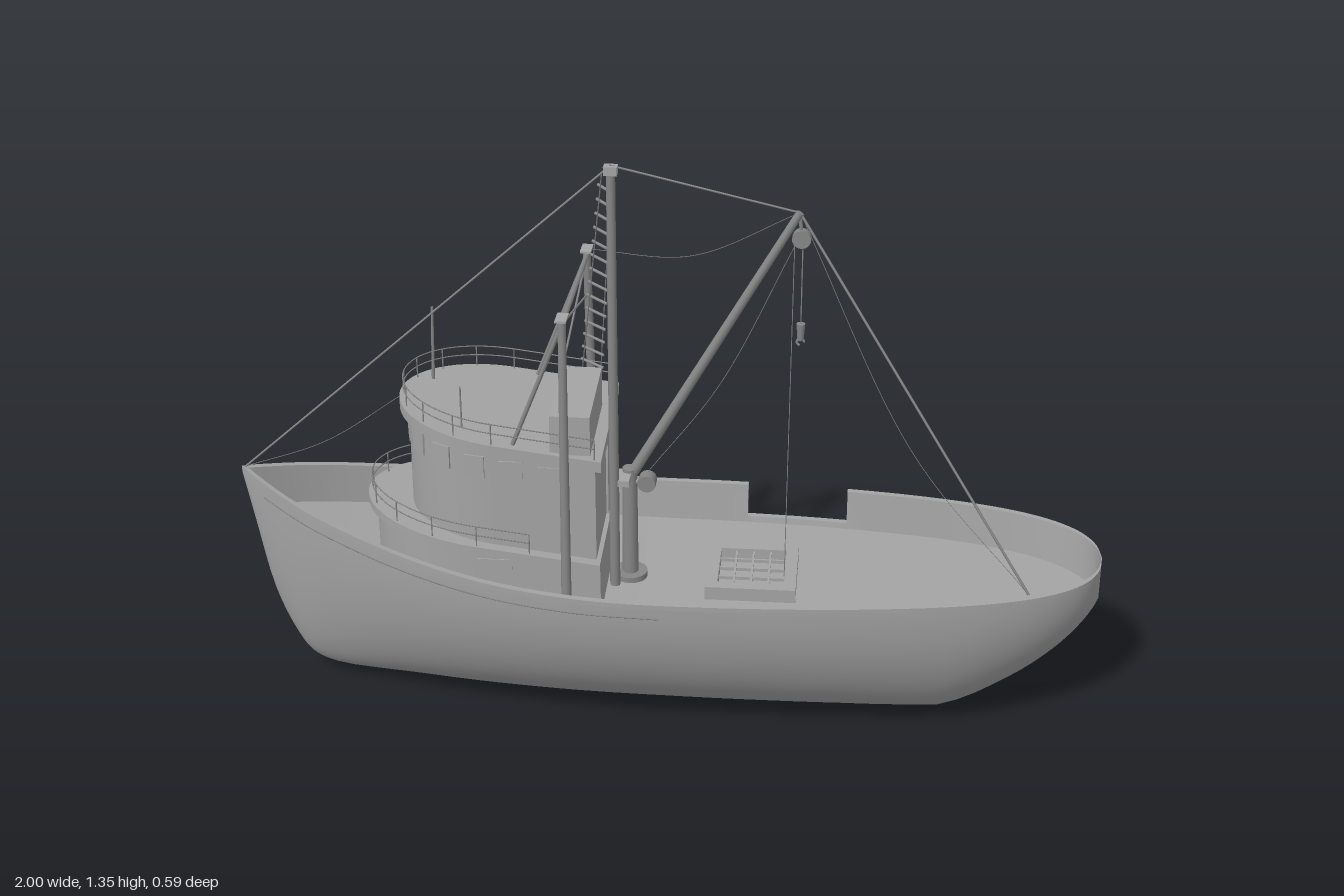
import * as THREE from 'three';
import { toCreasedNormals } from 'three/addons/utils/BufferGeometryUtils.js';

const bodyGrey = new THREE.MeshStandardMaterial({ color: 0xa4a4a4, side: THREE.DoubleSide });
const rigGrey = new THREE.MeshStandardMaterial({ color: 0x868686, side: THREE.DoubleSide });
const V = (x, y, z) => new THREE.Vector3(x, y, z);

function add(parent, name, geo, x = 0, y = 0, z = 0, mat = bodyGrey) {
  const m = new THREE.Mesh(geo, mat);
  m.name = name;
  m.position.set(x, y, z);
  parent.add(m);
  return m;
}
const box = (p, name, w, h, d, x, y, z) => add(p, name, new THREE.BoxGeometry(w, h, d), x, y, z);

// straight bar between two points
function rod(p, name, a, b, r = 0.003, r2 = r, sides = 8) {
  const m = add(p, name, new THREE.CylinderGeometry(r2, r, a.distanceTo(b), sides), 0, 0, 0, rigGrey);
  m.position.copy(a).lerp(b, 0.5);
  m.quaternion.setFromUnitVectors(V(0, 1, 0), b.clone().sub(a).normalize());
  return m;
}
const tube = (p, name, pts, r, n = 60) =>
  add(p, name, new THREE.TubeGeometry(new THREE.CatmullRomCurve3(pts), n, r, 5), 0, 0, 0, rigGrey);
// slack rope
function rope(p, a, b, sag) {
  const mid = a.clone().lerp(b, 0.5);
  mid.y -= sag;
  tube(p, 'slackRope', [a, mid, b], 0.0008, 24);
}

// ---- hull: half width and keel height at each station ----
const STATIONS = [
  [-1, 0, 0.53], [-0.976, 0.018, 0.40], [-0.94, 0.045, 0.215], [-0.9, 0.073, 0.11], [-0.86, 0.098, 0.048],
  [-0.8, 0.13, 0.022], [-0.6, 0.21, 0.014], [-0.4, 0.263, 0.01], [-0.2, 0.286, 0.007], [0, 0.29, 0.005],
  [0.17, 0.287, 0.003], [0.41, 0.272, 0.001], [0.64, 0.242, 0.002], [0.8, 0.203, 0.085], [0.9, 0.158, 0.165],
  [0.96, 0.108, 0.23], [0.99, 0.055, 0.27], [1, 0, 0.285]];
const sheer = x => 0.395 + (x < 0 ? 0.15 * x * x : 0);

function hullSection(x, w, k, side, notched) {
  const t = sheer(x), deck = Math.max(t - 0.098, k);
  const top = notched ? deck + 0.015 : t;
  const half = y => w * Math.sqrt(Math.max(0, 1 - ((t - y) / (t - k)) ** 2));
  const lip = Math.max(top - 0.012, k), out = Math.min(0.004, w * 0.2), pts = [];
  for (let j = 0; j <= 16; j++) {
    const a = (j / 16) * Math.PI / 2, y = lip + (k - lip) * Math.cos(a);
    pts.push([half(y), y]);
  }
  const inner = Math.max(0, half(top) - 0.011), foot = Math.max(0, half(deck) - 0.011);
  pts.push([half(lip) + out, lip], [half(top) + out, top], [inner, top], [foot, deck], [0, deck]);
  return pts.map(([z, y]) => [x, y, z * side]);
}

function hullGeometry() {
  const curve = new THREE.CatmullRomCurve3(STATIONS.map(s => V(...s)));
  const rows = [], n = STATIONS.length - 1;
  for (let i = 0; i < n; i++) {
    const gap = i === 10;
    for (let j = 0; j <= 4; j++) {
      if (j === 4 && !gap && i !== 9 && i !== n - 1) continue;
      const p = curve.getPoint((i + j / 4) / n);
      rows.push([p.x, Math.max(0, p.y), Math.max(0, p.z), gap]);
    }
  }
  const pos = [], idx = [];
  for (const side of [1, -1]) {
    const base = pos.length / 3;
    let cols = 0;
    for (const [x, w, k, gap] of rows) {
      const sec = hullSection(x, w, k, side, gap && side < 0);
      cols = sec.length;
      pos.push(...sec.flat());
    }
    for (let i = 0; i < rows.length - 1; i++) for (let j = 0; j < cols - 1; j++) {
      const a = base + i * cols + j, b = a + cols;
      if (side > 0) idx.push(a, b, b + 1, a, b + 1, a + 1);
      else idx.push(a, b + 1, b, a, a + 1, b + 1);
    }
  }
  const g = new THREE.BufferGeometry();
  g.setAttribute('position', new THREE.Float32BufferAttribute(pos, 3));
  g.setIndex(idx);
  return toCreasedNormals(g, 0.7);
}

// ---- deckhouse plan: round front, straight sides, square aft ----
function plan(front, straight, aft, hw, n = 32) {
  const pts = [[aft, hw]];
  for (let i = 0; i <= n; i++) {
    const a = (i / n) * Math.PI;
    pts.push([straight - (straight - front) * Math.sin(a), hw * Math.cos(a)]);
  }
  pts.push([aft, -hw]);
  return pts;
}
function house(p, name, pts, bottom, top) {
  const shape = new THREE.Shape(pts.map(q => new THREE.Vector2(...q)));
  const g = new THREE.ExtrudeGeometry(shape, { depth: 1, bevelEnabled: false });
  g.rotateX(Math.PI / 2);
  const a = g.attributes.position;
  for (let i = 0; i < a.count; i++) a.setY(i, a.getY(i) > -0.5 ? top(a.getX(i)) : bottom(a.getX(i)));
  return add(p, name, toCreasedNormals(g, 0.6));
}
// guard rail with two bars and posts along a plan
function railing(p, pts, floor, h) {
  for (const f of [0.55, 1]) tube(p, 'railBar', pts.map(([x, z]) => V(x, floor(x) + h * f, z)), 0.0014, 90);
  pts.forEach(([x, z], i) => {
    if (i % 4 === 1 || i === 0 || i === pts.length - 1)
      rod(p, 'railPost', V(x, floor(x), z), V(x, floor(x) + h, z), 0.0016, 0.0016, 5);
  });
}

export function createModel() {
  const model = new THREE.Group();
  model.name = 'fishingBoat';
  const ship = new THREE.Group();
  ship.name = 'hullAndHouse';
  ship.rotation.y = 0.033;
  model.add(ship);
  add(ship, 'hull', hullGeometry());

  // rubbing strakes
  for (const s of [1, -1]) {
    const pts = STATIONS.slice(2, 10).map(([x, w, k]) => {
      const t = sheer(x), u = 0.04 / (t - k);
      return V(x, t - 0.04, s * w * Math.sqrt(1 - u * u));
    });
    tube(ship, 'rubbingStrake', pts, 0.0016);
  }

  // deckhouse, wheelhouse and roof
  const platformY = x => 0.42 - 0.125 * x, roofY = x => 0.682 - 0.128 * x;
  house(ship, 'lowerHouse', plan(-0.68, -0.42, -0.14, 0.192), () => 0.27, x => platformY(x) - 0.01);
  house(ship, 'platform', plan(-0.7, -0.42, -0.14, 0.203), x => platformY(x) - 0.02, platformY);
  const walls = plan(-0.595, -0.38, -0.15, 0.178);
  house(ship, 'wheelhouse', walls, () => 0.4, x => roofY(x) - 0.01);
  house(ship, 'roof', plan(-0.615, -0.38, -0.135, 0.197), x => roofY(x) - 0.026, roofY);
  railing(ship, plan(-0.69, -0.42, -0.3, 0.197), platformY, 0.05);
  railing(ship, plan(-0.605, -0.38, -0.15, 0.19), roofY, 0.05);
  box(ship, 'roofLocker', 0.09, 0.095, 0.25, -0.205, 0.755, 0.058);

  // windows, portlights and aft door
  const pane = (x, y, z, angle, w, h) => { box(ship, 'window', w, h, 0.006, x, y, z).rotation.y = angle; };
  for (let i = 3; i < walls.length - 2; i += 4) {
    const [x, z] = walls[i], [x0, z0] = walls[i - 1], [x1, z1] = walls[i + 1];
    pane(x, roofY(x) - 0.07, z, Math.atan2(-(z1 - z0), x1 - x0), 0.046, 0.055);
  }
  for (const s of [1, -1]) {
    for (const x of [-0.34, -0.25]) pane(x, roofY(x) - 0.07, s * 0.178, 0, 0.055, 0.055);
    for (const x of [-0.38, -0.24]) pane(x, 0.425, s * 0.192, 0, 0.08, 0.025);
  }
  box(ship, 'aftDoor', 0.008, 0.22, 0.09, -0.149, 0.54, -0.08);

  // cargo hatch with grating
  const hx = 0.195, hz = -0.005, hy = 0.31;
  for (const s of [1, -1]) {
    box(ship, 'hatchCoaming', 0.21, 0.04, 0.028, hx, hy, hz + s * 0.09);
    box(ship, 'hatchCoaming', 0.028, 0.04, 0.16, hx + s * 0.091, hy, hz);
  }
  for (const d of [-0.04, 0, 0.04]) {
    box(ship, 'hatchBar', 0.005, 0.008, 0.16, hx + d, hy + 0.01, hz);
    box(ship, 'hatchBar', 0.16, 0.008, 0.005, hx, hy + 0.01, hz + d);
  }

  // aerials
  rod(model, 'aerial', V(-0.555, 0.74, -0.06), V(-0.55, 0.935, -0.06), 0.004, 0.003);
  rod(model, 'aerial', V(-0.45, 0.73, 0.145), V(-0.45, 0.84, 0.145), 0.002);

  // mast, derrick post and boom
  const mastTop = V(-0.12, 1.345, 0.055), tip = V(0.285, 1.23, -0.006), heel = V(-0.09, 0.56, 0.008);
  rod(model, 'mast', V(-0.12, 0.28, 0.055), mastTop, 0.012, 0.01, 12);
  box(model, 'mastCap', 0.03, 0.02, 0.022, -0.12, 1.335, 0.055);
  rod(model, 'derrickPost', V(-0.09, 0.28, 0.008), V(-0.09, 0.585, 0.008), 0.019, 0.017, 14);
  rod(model, 'postFlange', V(-0.09, 0.29, 0.008), V(-0.09, 0.312, 0.008), 0.04, 0.04, 16);
  box(model, 'mastBracket', 0.04, 0.015, 0.06, -0.105, 0.57, 0.032);
  rod(model, 'boom', heel, tip, 0.013, 0.009, 12);
  rod(model, 'winchDrum', V(-0.05, 0.55, -0.01), V(-0.05, 0.55, 0.022), 0.021, 0.021, 14);
  rod(model, 'winchAxle', V(-0.09, 0.55, 0.008), V(-0.05, 0.55, 0.008), 0.009);

  // hoist block and hook
  rod(model, 'hoistBlock', V(0.29, 1.17, -0.016), V(0.29, 1.17, 0.004), 0.021, 0.021, 14);
  rod(model, 'blockStrap', tip, V(0.29, 1.17, -0.006), 0.004);
  rod(model, 'hoistRope', V(0.293, 1.17, -0.006), V(0.293, 0.96, -0.006), 0.0014);
  rod(model, 'hookBlock', V(0.293, 0.965, -0.006), V(0.293, 0.925, -0.006), 0.01, 0.007);
  add(model, 'hook', new THREE.TorusGeometry(0.008, 0.003, 6, 12, 4.5), 0.293, 0.92, -0.006, rigGrey);
  rod(model, 'fallRope', V(0.275, 1.16, -0.006), V(0.27, 0.31, -0.006), 0.001);

  // gallows frame
  const postTop = [V(-0.21, 1.045, 0.195), V(-0.21, 1.045, -0.177)];
  const postFoot = [V(-0.205, 0.28, 0.245), V(-0.205, 0.28, -0.23)];
  postTop.forEach((t, i) => {
    const f = postFoot[i], other = postFoot[1 - i].clone().lerp(postTop[1 - i], 0.85);
    rod(model, 'gallowsPost', f, t, 0.012, 0.009, 10);
    box(model, 'gallowsCap', 0.025, 0.005, 0.045, t.x, t.y, t.z);
    rod(model, 'gallowsStrut', V(-0.33, 0.72, t.z * 0.95), V(t.x, 1.03, t.z), 0.005);
    rod(model, 'crossBrace', V(t.x, 1.03, t.z), other, 0.0025);
  });
  rod(model, 'gallowsBeam', V(-0.21, 1.03, 0.195), V(-0.21, 1.03, -0.177), 0.006);

  // rope ladder from mast to roof edge
  const low = V(-0.205, 0.72, -0.182), high = V(-0.13, 1.32, 0.045);
  for (const dx of [-0.022, 0.022])
    rod(model, 'ladderRope', V(low.x + dx, low.y, low.z), V(high.x + dx * 0.5, high.y, high.z), 0.0014);
  for (let i = 1; i < 15; i++) {
    const c = low.clone().lerp(high, i / 15), w = 0.028 - 0.0007 * i;
    rod(model, 'ladderRung', V(c.x - w, c.y + 0.006, c.z - 0.01), V(c.x + w, c.y - 0.006, c.z + 0.01), 0.0035);
  }

  // stays and slack lines
  const bow = V(-0.99, 0.545, 0.034), quarter = V(0.83, 0.395, 0.15);
  rod(model, 'foreStay', bow, mastTop, 0.0024);
  rod(model, 'toppingLift', mastTop, tip, 0.0024);
  rod(model, 'aftGuy', tip, quarter, 0.003);
  rope(model, tip, quarter, 0.12);
  rope(model, bow, V(-0.6, 0.76, 0.03), 0.03);
  rope(model, tip, postTop[1], 0.06);
  rope(model, V(0.28, 1.16, -0.01), V(-0.05, 0.57, 0.0), 0.06);
  return model;
}
